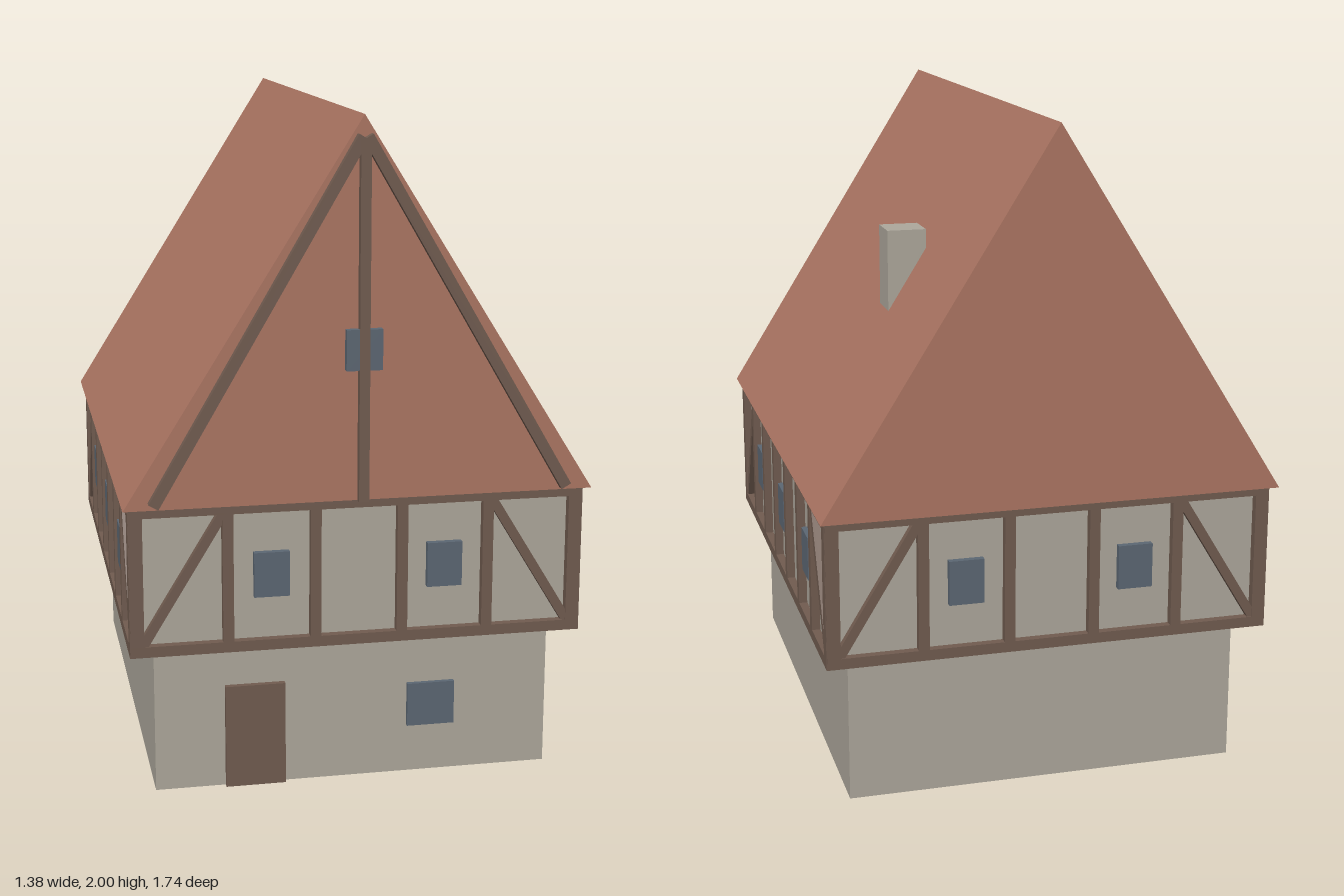
import * as THREE from 'three';

const material = (name, color) => {
  const m = new THREE.MeshStandardMaterial({ color });
  m.name = name;
  return m;
};

export function createModel() {
  const plaster = material('plaster', 0xaea89c);
  const timber = material('timber', 0x715c50);
  const tile = material('roof tile', 0xad7663);
  const glass = material('window glass', 0x5c6773);

  const house = new THREE.Group();
  house.name = 'timberFramedHouse';
  const Z0 = -0.01; // centre of the house body

  const box = (parent, name, mat, w, h, d, x, y, z) => {
    const mesh = new THREE.Mesh(new THREE.BoxGeometry(w, h, d), mat);
    mesh.name = name;
    mesh.position.set(x, y, z);
    parent.add(mesh);
    return mesh;
  };

  // Slanted beam between two points of a facade
  const beam = (parent, name, x1, y1, x2, y2, w, d, z) => {
    const len = Math.hypot(x2 - x1, y2 - y1);
    const mesh = box(parent, name, timber, len, w, d, (x1 + x2) / 2, (y1 + y2) / 2, z);
    mesh.rotation.z = Math.atan2(y2 - y1, x2 - x1);
  };

  // Walls
  box(house, 'groundFloor', plaster, 1.2, 0.45, 1.495, 0, 0.225, Z0);
  box(house, 'upperFloor', plaster, 1.3, 0.448, 1.6, 0, 0.675, Z0);

  // One timber facade in its own plane, outward is +z
  const facade = (name, half, posts, windows, angle, distance) => {
    const g = new THREE.Group();
    g.name = name;
    const edge = half - 0.02;
    box(g, 'sillBeam', timber, half * 2, 0.032, 0.03, 0, 0.466, 0.01);
    box(g, 'topBeam', timber, half * 2, 0.032, 0.03, 0, 0.884, 0.01);
    for (const x of [-edge, edge]) box(g, 'cornerPost', timber, 0.04, 0.45, 0.03, x, 0.675, 0.01);
    for (const x of posts) box(g, 'post', timber, 0.032, 0.42, 0.03, x, 0.675, 0.01);
    const inner = Math.max(...posts) + 0.01;
    for (const s of [-1, 1]) beam(g, 'brace', s * (edge - 0.015), 0.48, s * inner, 0.875, 0.028, 0.024, 0.01);
    for (const x of windows) box(g, 'window', glass, 0.105, 0.135, 0.03, x, 0.678, 0.005);
    g.rotation.y = angle;
    g.position.set(Math.sin(angle) * distance, 0, Z0 + Math.cos(angle) * distance);
    house.add(g);
  };
  const endPosts = [-0.387, -0.129, 0.129, 0.387];
  const sidePosts = [-0.57, -0.342, -0.114, 0.114, 0.342, 0.57];
  facade('frontFrame', 0.673, endPosts, [-0.258, 0.258], 0, 0.8);
  facade('backFrame', 0.673, endPosts, [-0.258, 0.258], Math.PI, 0.8);
  facade('leftFrame', 0.823, sidePosts, [-0.456, 0, 0.456], Math.PI / 2, 0.65);
  facade('rightFrame', 0.823, sidePosts, [-0.456, 0, 0.456], -Math.PI / 2, 0.65);

  // Solid gabled roof
  const outline = new THREE.Shape([
    new THREE.Vector2(-0.69, 0.9), new THREE.Vector2(0.69, 0.9), new THREE.Vector2(0, 2),
  ]);
  const roof = new THREE.Mesh(
    new THREE.ExtrudeGeometry(outline, { depth: 1.715, bevelEnabled: false }), tile);
  roof.name = 'roof';
  roof.position.z = -0.87;
  house.add(roof);

  // Front gable timbers and window
  const gable = new THREE.Group();
  gable.name = 'gableFrame';
  house.add(gable);
  box(gable, 'gablePost', timber, 0.03, 1.03, 0.035, 0, 1.415, 0.8525);
  for (const s of [-1, 1]) beam(gable, 'rafter', s * 0.605, 0.915, s * 0.006, 1.94, 0.032, 0.034, 0.8525);
  box(gable, 'gableWindow', glass, 0.105, 0.118, 0.03, 0, 1.343, 0.852);

  // Door, ground floor window and chimney
  box(house, 'door', timber, 0.18, 0.318, 0.03, -0.3, 0.159, 0.74);
  box(house, 'groundWindow', glass, 0.145, 0.135, 0.03, 0.237, 0.218, 0.737);
  box(house, 'chimney', plaster, 0.118, 0.4, 0.118, 0.323, 1.435, -0.313);

  return house;
}
